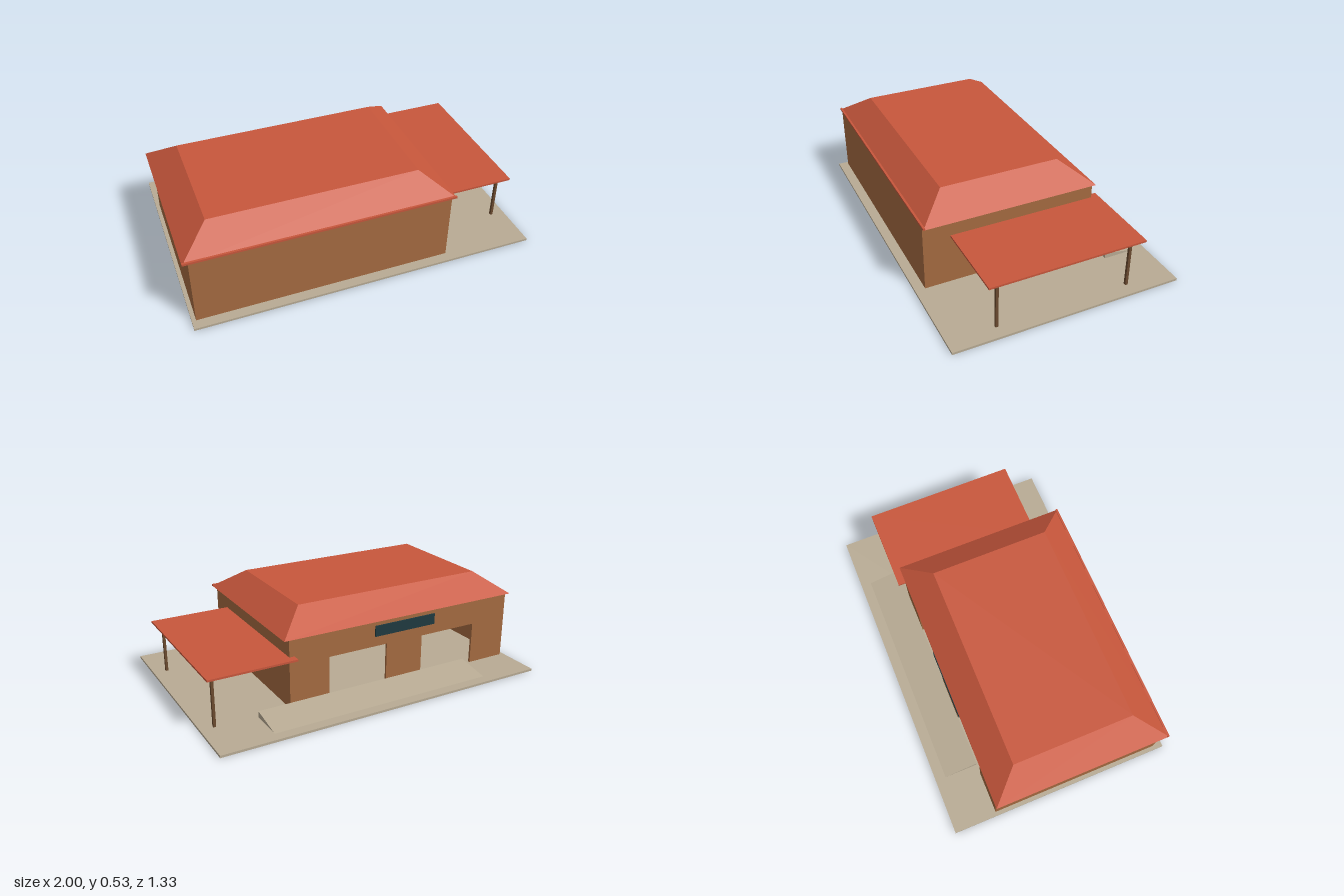
import * as THREE from 'three';

const paint = (name, color) => {
  const m = new THREE.MeshStandardMaterial({ color });
  m.name = name;
  return m;
};

export function createModel() {
  const model = new THREE.Group();
  model.name = 'hallWithCarport';
  const concrete = paint('concrete', 0xb8ab94);
  const wall = paint('ochreWall', 0xa56b41);
  const red = paint('redRoof', 0xc8573c);
  const timber = paint('darkTimber', 0x6b4a2f);
  const teal = paint('darkTeal', 0x1f3a40);

  const add = (name, geometry, material) => {
    const mesh = new THREE.Mesh(geometry, material);
    mesh.name = name;
    model.add(mesh);
    return mesh;
  };
  // Box given by its lower and upper limits on each axis
  const box = (name, material, x0, x1, y0, y1, z0, z1) => {
    const g = new THREE.BoxGeometry(x1 - x0, y1 - y0, z1 - z0);
    g.translate((x0 + x1) / 2, (y0 + y1) / 2, (z0 + z1) / 2);
    return add(name, g, material);
  };

  // Ground slab
  box('groundSlab', concrete, -0.993, 0.997, 0, 0.013, -0.667, 0.665);

  // Plain walls on three sides
  const L = -0.97, R = 0.49, B = -0.408, F = 0.608, T = 0.013, low = 0.004;
  box('frontWall', wall, L, R, low, 0.415, F - T, F);
  box('rightWall', wall, L, L + T, low, 0.415, B + T, F - T);
  box('leftWall', wall, R - T, R, low, 0.415, B + T, F - T);

  // Back wall with two wide doorways, outlined as one shape
  const outline = new THREE.Shape([
    [L, low], [-0.73, low], [-0.73, 0.265], [-0.36, 0.265], [-0.36, low],
    [-0.12, low], [-0.12, 0.265], [0.25, 0.265], [0.25, low],
    [R, low], [R, 0.415], [L, 0.415],
  ].map(([x, y]) => new THREE.Vector2(x, y)));
  const backWall = new THREE.ExtrudeGeometry(outline, { depth: T, bevelEnabled: false });
  backWall.translate(0, 0, B);
  add('backWall', backWall, wall);

  // Hipped roof with a flat top: a box whose upper corners move inwards
  const roof = new THREE.BoxGeometry(1.52, 0.122, 1.025);
  const p = roof.attributes.position;
  for (let i = 0; i < p.count; i++) {
    if (p.getY(i) > 0) {
      p.setX(i, p.getX(i) - Math.sign(p.getX(i)) * 0.165);
      p.setZ(i, p.getZ(i) - Math.sign(p.getZ(i)) * 0.163);
    }
  }
  roof.computeVertexNormals();
  roof.translate(-0.24, 0.473, 0.0985);
  add('hippedRoof', roof, red);
  box('frontFascia', red, -1, 0.52, 0.411, 0.423, 0.6, 0.612);

  // Sign board above the doorways
  box('signBoard', teal, -0.44, -0.04, 0.325, 0.388, -0.416, B);

  // Ramp wedge along the back wall
  const wedge = new THREE.Shape([
    new THREE.Vector2(0.408, 0.012), new THREE.Vector2(0.612, 0.012),
    new THREE.Vector2(0.408, 0.048),
  ]);
  const ramp = new THREE.ExtrudeGeometry(wedge, { depth: 1.35, bevelEnabled: false });
  ramp.rotateY(Math.PI / 2);
  ramp.translate(-0.672, 0, 0);
  add('ramp', ramp, concrete);

  // Carport canopy and its posts
  box('carportRoof', red, 0.46, 0.964, 0.304, 0.315, -0.453, 0.452);
  for (const z of [-0.387, 0.389]) {
    box('carportPost', timber, 0.91, 0.925, 0.012, 0.297, z - 0.008, z + 0.008);
  }
  return model;
}
